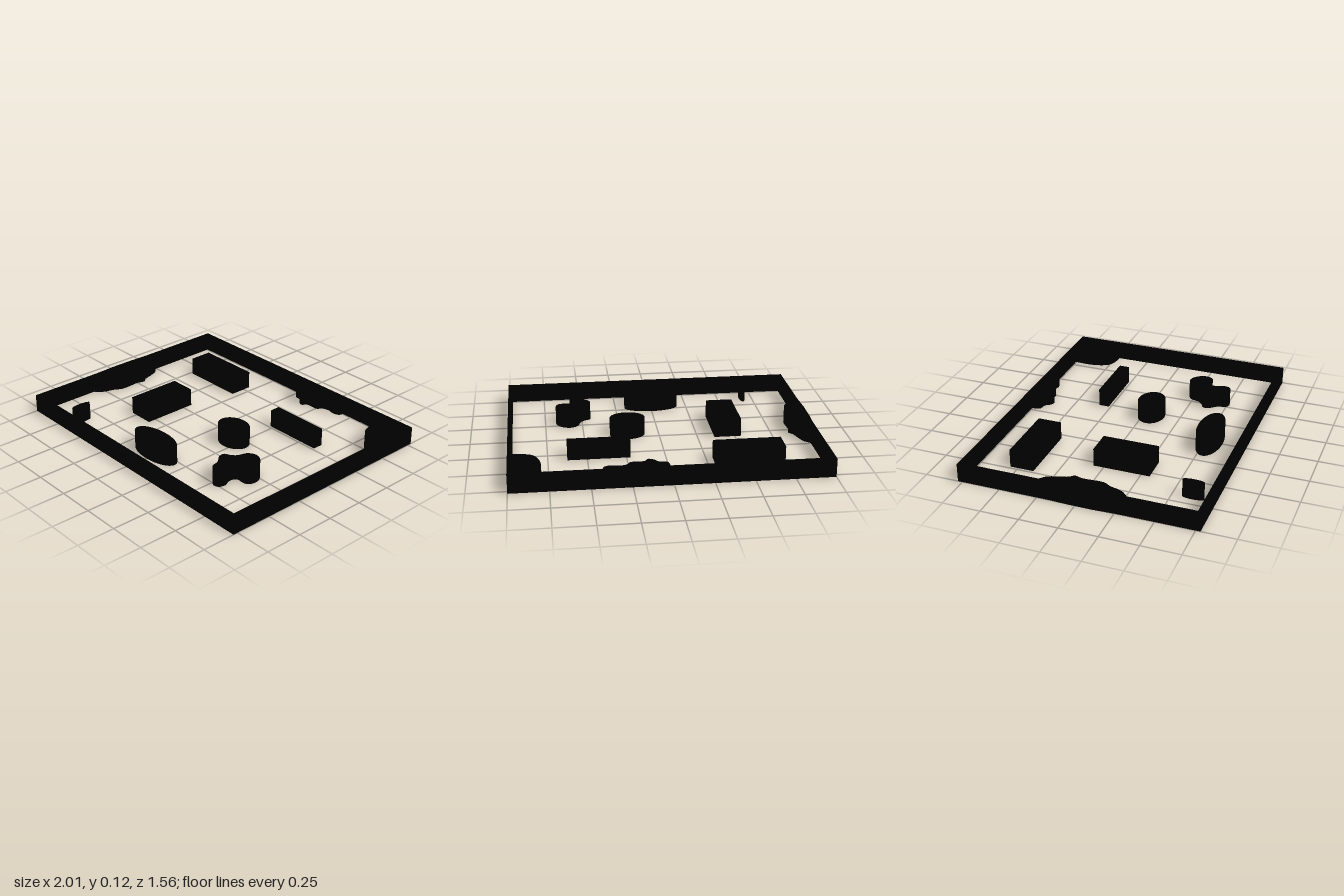
import * as THREE from 'three';
import { mergeVertices, toCreasedNormals } from 'three/addons/utils/BufferGeometryUtils.js';

const H = 0.12; // common height of every part
const W = 1, D = 0.78, T = 0.026; // half width, half depth, wall thickness

export function createModel() {
  const group = new THREE.Group();
  const black = new THREE.MeshStandardMaterial({ color: 0x000000 });

  const add = (name, geometry) => {
    const mesh = new THREE.Mesh(geometry, black);
    mesh.name = name;
    group.add(mesh);
  };

  // Raise a floor-plan shape (x, z) to the common height
  const raise = (name, shape, curveSegments = 24) => {
    const geo = new THREE.ExtrudeGeometry(shape, { depth: H, bevelEnabled: false, curveSegments });
    geo.rotateX(Math.PI / 2).translate(0, H, 0);
    add(name, toCreasedNormals(geo, 0.6));
  };

  const box = (name, x0, x1, z0, z1) =>
    add(name, new THREE.BoxGeometry(x1 - x0, H, z1 - z0).translate((x0 + x1) / 2, H / 2, (z0 + z1) / 2));

  const ellipse = (name, x, z, rx, rz) =>
    raise(name, new THREE.Shape().absellipse(x, z, rx, rz, 0, Math.PI * 2));

  // Smooth outline through the points; extra corners close it against a wall
  const blob = (name, points, corners = []) => {
    const path = points.map(([x, z]) => new THREE.Vector3(x, 0, z));
    const curve = new THREE.CatmullRomCurve3(path, corners.length === 0);
    const outline = curve.getPoints(points.length * 5).map((p) => new THREE.Vector2(p.x, p.z));
    corners.forEach(([x, z]) => outline.push(new THREE.Vector2(x, z)));
    raise(name, new THREE.Shape(outline));
  };

  // Outer wall: rectangle with a rectangular opening
  const rect = (w, d) => [[-w, -d], [w, -d], [w, d], [-w, d]].map(([x, z]) => new THREE.Vector2(x, z));
  const wall = new THREE.Shape(rect(W, D));
  wall.holes.push(new THREE.Path(rect(W - T, D - T)));
  raise('outerWall', wall);

  // Rectangular blocks
  box('backBlock', -0.733, -0.294, -0.553, -0.395);
  box('narrowBlock', 0.225, 0.626, -0.334, -0.265);
  box('sideBlock', -0.54, -0.362, 0.067 * -1, 0.307);

  // Oval pillars
  ellipse('centrePillar', 0.21, 0.056, 0.117, 0.091);
  ellipse('frontPillar', 0, 0.537, 0.187, 0.083);
  ellipse('thinPillar', -0.677, 0.634, 0.019, 0.07);

  // Free-standing rock
  blob('rock', [
    [0.58, 0.21], [0.64, 0.23], [0.677, 0.29], [0.66, 0.35], [0.62, 0.362], [0.58, 0.36],
    [0.56, 0.38], [0.56, 0.42], [0.577, 0.46], [0.567, 0.5], [0.54, 0.515], [0.503, 0.5],
    [0.487, 0.445], [0.443, 0.39], [0.442, 0.35], [0.48, 0.33], [0.51, 0.3], [0.53, 0.24],
  ]);

  // Rocks growing out of the wall
  blob('rightWallRock', [
    [-0.985, -0.25], [-0.965, -0.235], [-0.935, -0.205], [-0.91, -0.14], [-0.893, -0.083], [-0.867, -0.05],
    [-0.88, 0], [-0.877, 0.14], [-0.904, 0.19], [-0.925, 0.26], [-0.95, 0.297], [-0.985, 0.32],
  ]);
  blob('backWallRock', [
    [0.02, -0.765], [0.032, -0.7], [0.085, -0.687], [0.11, -0.655], [0.145, -0.64], [0.172, -0.67],
    [0.257, -0.676], [0.283, -0.708], [0.33, -0.72], [0.375, -0.71], [0.42, -0.725], [0.433, -0.765],
  ], [[0.433, -0.77], [0.02, -0.77]]);
  blob('cornerRock', [
    [0.8, -0.77], [0.795, -0.64], [0.81, -0.56], [0.84, -0.505], [0.89, -0.48], [0.99, -0.47],
  ], [[0.99, -0.77]]);

  return group;
}
